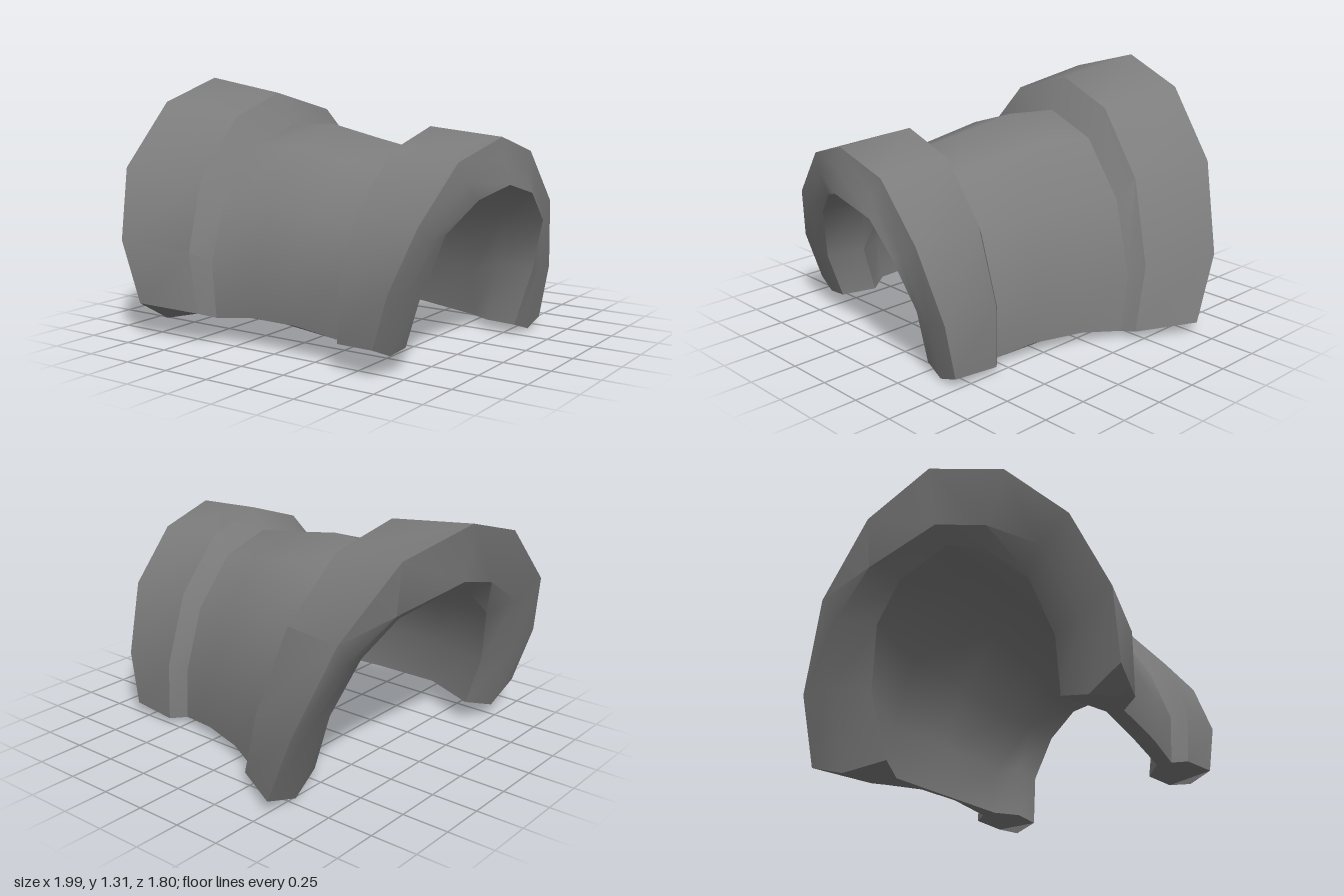
import * as THREE from 'three';
import { toCreasedNormals } from 'three/addons/utils/BufferGeometryUtils.js';

// Normalised half-arches (z, y), from the front foot over the crown to the back foot
const ARCH = [[0.985, 0.145], [1, 0.39], [0.83, 0.66], [0.47, 0.91], [0.02, 1],
  [-0.44, 0.915], [-0.8, 0.66], [-0.99, 0.32], [-1, 0.055]];
const MOUTH = [[0.96, 0.14], [0.98, 0.42], [0.78, 0.76], [0.41, 0.93], [0.05, 1],
  [-0.52, 0.92], [-0.84, 0.74], [-1, 0.42], [-0.94, 0.07]];

// Each rail is one arch: x at five stations along it, z centre, half width, height,
// and how far its feet drop below the normal arch
const RAILS = [
  // outside of the wide cuff
  { x: [-0.77, -0.98, -0.995, -0.77, -0.5], z: 0, w: 0.9, h: 1.32 },
  { x: [-0.43, -0.5, -0.49, -0.35, -0.2], z: 0.055, w: 0.785, h: 1.25, drop: 0.01 },
  // outside of the sleeve
  { x: [-0.37, -0.4, -0.39, -0.28, -0.18], z: 0.055, w: 0.705, h: 1.08, drop: 0.015 },
  { x: [-0.13, -0.12, -0.1, -0.02, 0.03], z: 0.09, w: 0.65, h: 1.1, drop: -0.01 },
  { x: [0.12, 0.16, 0.23, 0.27, 0.3], z: 0.13, w: 0.61, h: 1.04, drop: -0.015 },
  { x: [0.38, 0.41, 0.47, 0.5, 0.51], z: 0.155, w: 0.585, h: 1.0, drop: 0.01 },
  // outside and end face of the narrow cuff
  { x: [0.42, 0.46, 0.54, 0.57, 0.58], z: 0.16, w: 0.66, h: 1.12, drop: 0.02 },
  { x: [0.65, 0.82, 0.95, 0.95, 0.84], z: 0.19, w: 0.68, h: 1.09 },
  { x: [0.67, 0.83, 0.97, 0.96, 0.83], z: 0.19, w: 0.56, h: 0.98, drop: 0.035 },
  { x: [0.68, 0.84, 0.995, 0.98, 0.81], z: 0.18, w: 0.46, h: 0.865, arch: MOUTH },
  // inner lip of the narrow cuff
  { x: [0.5, 0.62, 0.75, 0.74, 0.64], z: 0.145, w: 0.44, h: 0.875, arch: MOUTH },
  // hollow inside of the sleeve
  { x: [0.38, 0.41, 0.47, 0.5, 0.51], z: 0.15, w: 0.51, h: 0.93 },
  { x: [-0.02, 0, 0.04, 0.1, 0.14], z: 0.1, w: 0.57, h: 1.01 },
  { x: [-0.38, -0.42, -0.42, -0.32, -0.22], z: 0.055, w: 0.62, h: 1.01 },
  // inner lip and end face of the wide cuff
  { x: [-0.67, -0.83, -0.86, -0.69, -0.45], z: 0.03, w: 0.55, h: 0.95, arch: MOUTH },
  { x: [-0.74, -0.93, -0.95, -0.76, -0.51], z: 0, w: 0.75, h: 1.02, drop: 0.06, arch: MOUTH },
];

// Inner rail opposite each outer rail, used to close the feet
const PARTNER = [15, 14, 13, 12, 12, 11, 10, 9, 9];

function buildShell() {
  const positions = [];
  const index = [];
  const n = RAILS.length;
  const last = ARCH.length - 1;
  const id = (i, j) => i * n + (j % n);

  for (let i = 0; i <= last; i++) {
    const k = Math.floor(i / 2);
    const foot = i === 0 || i === last;
    for (const { x, z, w, h, drop = 0, arch = ARCH } of RAILS) {
      const [az, ay] = arch[i];
      positions.push(
        i % 2 ? (x[k] + x[k + 1]) / 2 : x[k],
        ay * h - (foot ? drop : 0),
        z + az * w,
      );
    }
  }

  // Skin between neighbouring stations
  for (let i = 0; i < last; i++) {
    for (let j = 0; j < n; j++) {
      const a = id(i, j), b = id(i, j + 1), c = id(i + 1, j + 1), d = id(i + 1, j);
      index.push(a, b, c, a, c, d);
    }
  }

  // Closed front and back feet
  for (let j = 0; j < PARTNER.length - 1; j++) {
    const p = PARTNER[j], q = PARTNER[j + 1];
    const tris = [[j, p, j + 1]];
    if (p !== q) tris.push([p, q, j + 1]);
    for (const [a, b, c] of tris) {
      index.push(id(0, a), id(0, b), id(0, c));
      index.push(id(last, a), id(last, c), id(last, b));
    }
  }

  const geometry = new THREE.BufferGeometry();
  geometry.setAttribute('position', new THREE.Float32BufferAttribute(positions, 3));
  geometry.setIndex(index);
  return toCreasedNormals(geometry, 0.68);
}

export function createModel() {
  const group = new THREE.Group();
  group.name = 'armGuard';
  const shell = new THREE.Mesh(buildShell(), new THREE.MeshStandardMaterial({ color: 0x7d7d7d }));
  shell.name = 'cuffedShell';
  group.add(shell);
  return group;
}
